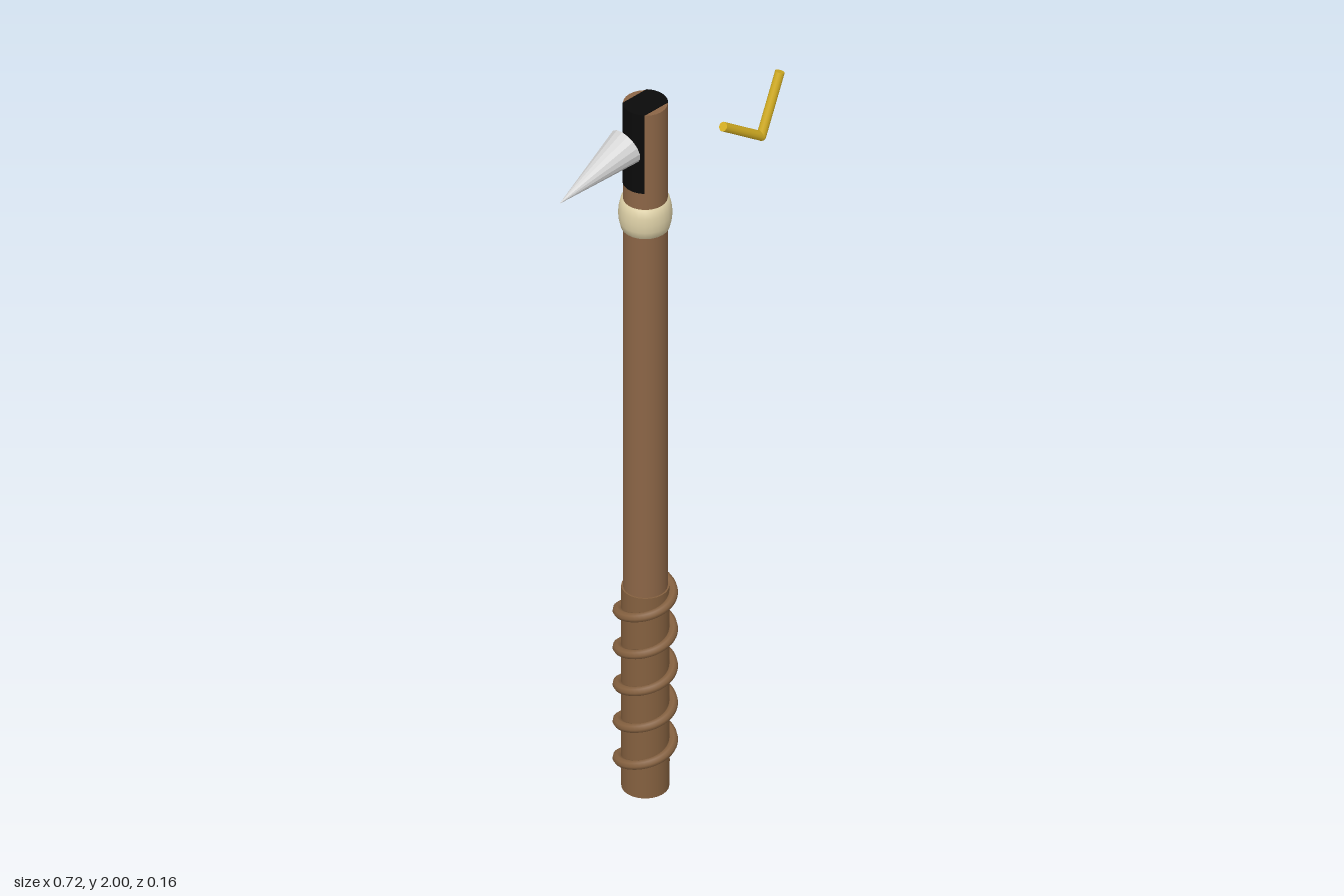
import * as THREE from 'three';

const mat = (name, color) => {
  const m = new THREE.MeshStandardMaterial({ color });
  m.name = name;
  return m;
};

export function createModel() {
  const wood = mat('brown wood', 0x8b6546);
  const leather = mat('brown leather', 0x84603f);
  const cream = mat('cream binding', 0xdccfa6);
  const steel = mat('light steel', 0xd2d2d2);
  const black = mat('black slot', 0x0a0a0a);
  const gold = mat('gold wire', 0xd4ae22);
  steel.flatShading = true;

  const model = new THREE.Group();
  const add = (name, geometry, material, parent = model) => {
    const mesh = new THREE.Mesh(geometry, material);
    mesh.name = name;
    parent.add(mesh);
    return mesh;
  };

  // Everything on the staff shares one upright axis
  const staff = new THREE.Group();
  staff.name = 'staff';
  staff.position.x = -0.07;
  model.add(staff);

  const R = 0.054;
  add('shaft', new THREE.CylinderGeometry(R, R, 1.988, 24), wood, staff).position.y = 1.004;
  add('grip', new THREE.CylinderGeometry(0.058, 0.058, 0.585, 24), leather, staff).position.y = 0.2925;

  // Rounded collar below the head
  const collar = [[0.05, 1.638], [0.059, 1.64], [0.064, 1.66], [0.0655, 1.68],
    [0.064, 1.70], [0.059, 1.721], [0.05, 1.723]].map(([r, y]) => new THREE.Vector2(r, y));
  add('collar', new THREE.LatheGeometry(collar, 24), cream, staff);

  // Dark slot through the head: a disc with its front and back cut flat
  const slotR = R + 0.001;
  const cut = Math.asin(0.037 / slotR);
  const section = new THREE.Shape();
  section.absarc(0, 0, slotR, -cut, cut, false);
  section.absarc(0, 0, slotR, Math.PI - cut, Math.PI + cut, false);
  section.closePath();
  const slot = new THREE.ExtrudeGeometry(section, { depth: 0.23, bevelEnabled: false, curveSegments: 8 });
  slot.rotateX(-Math.PI / 2);
  add('headSlot', slot, black, staff).position.y = 1.77;

  // Cord wound five times around the grip
  const points = [];
  for (let i = 0; i <= 80; i++) {
    const a = (i / 80) * Math.PI * 10;
    points.push(new THREE.Vector3(0.067 * Math.cos(a), 0.04 + 0.54 * i / 80, -0.067 * Math.sin(a)));
  }
  add('gripCord', new THREE.TubeGeometry(new THREE.CatmullRomCurve3(points), 200, 0.012, 8), leather, staff);
  points.slice(0, 1).concat(points.slice(-1)).forEach((p) => {
    add('cordEnd', new THREE.SphereGeometry(0.012, 8, 6), leather, staff).position.copy(p);
  });

  // Lay a tapered rod between two points
  const rod = (name, a, b, r0, r1, sides, material) => {
    const from = new THREE.Vector3(...a);
    const dir = new THREE.Vector3(...b).sub(from);
    const mesh = add(name, new THREE.CylinderGeometry(r1, r0, dir.length(), sides), material);
    mesh.position.copy(from).addScaledVector(dir, 0.5);
    mesh.quaternion.setFromUnitVectors(new THREE.Vector3(0, 1, 0), dir.normalize());
    return mesh;
  };

  // Spike on the side of the head
  rod('spike', [-0.136, 1.904, 0], [-0.36, 1.845, 0], 0.0485, 0, 16, steel);

  // Loose bent wire beside the head
  const bend = [0.283, 1.747, 0.039];
  rod('wireShortArm', bend, [0.154, 1.838, 0.039], 0.012, 0.012, 12, gold);
  rod('wireLongArm', bend, [0.346, 1.905, 0.039], 0.012, 0.012, 12, gold);
  add('wireBend', new THREE.SphereGeometry(0.012, 12, 8), gold).position.set(...bend);

  return model;
}
